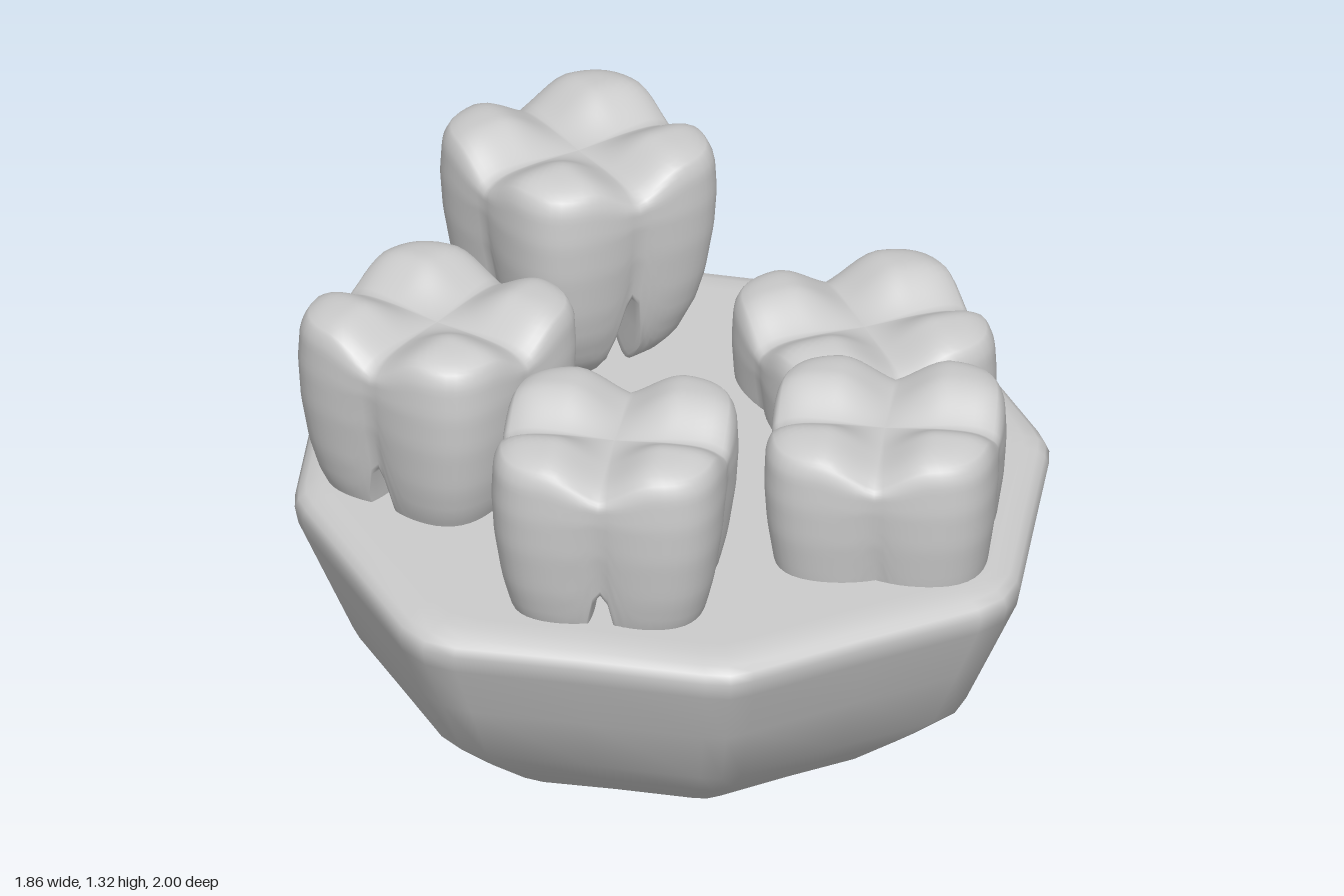
import * as THREE from 'three';

const material = new THREE.MeshStandardMaterial({ color: 0xcccccc });
const { lerp, smoothstep } = THREE.MathUtils;

// Smooth closed skin through rings of points, listed from top to bottom.
function skin(rings) {
  const n = rings[0].length, index = [];
  for (let i = 0; i < rings.length - 1; i++) {
    for (let j = 0; j < n; j++) {
      const a = i * n + j, b = i * n + (j + 1) % n, c = a + n, d = b + n;
      if (i > 0) index.push(a, b, c);
      if (i < rings.length - 2) index.push(b, d, c);
      else if (i === 0) index.push(b, d, c);
    }
  }
  const geometry = new THREE.BufferGeometry();
  geometry.setAttribute('position', new THREE.Float32BufferAttribute(rings.flat(2), 3));
  geometry.setIndex(index);
  geometry.computeVertexNormals();
  return geometry;
}

// Piecewise linear lookup in [key, value] pairs with falling keys.
function lookup(table, key) {
  for (let i = 1; i < table.length; i++) {
    const [k0, v0] = table[i - 1], [k1, v1] = table[i];
    if (key >= k1) return lerp(v0, v1, Math.min(1, Math.max(0, (k0 - key) / (k0 - k1))));
  }
  return table[table.length - 1][1];
}

// Octagonal bowl with softened corners and a solid flat top.
function bowlGeometry() {
  const quarter = [[0.93, 0], [0.92, 0.06], [0.84, 0.36], [0.765, 0.645], [0.72, 0.725], [0.65, 0.77], [0.36, 0.87], [0.06, 0.985]];
  const outline = [
    ...quarter,
    [0, 1],
    ...quarter.slice(1).reverse().map(([x, z]) => [-x, z]),
    ...quarter.map(([x, z]) => [-x, -z]),
    [0, -1],
    ...quarter.slice(1).reverse().map(([x, z]) => [x, -z]),
  ];
  const profile = [[0, 0.695], [0.88, 0.695], [0.93, 0.694], [0.97, 0.683], [0.99, 0.667], [1, 0.645], [0.99, 0.6],
    [0.92, 0.45], [0.845, 0.29], [0.72, 0.185], [0.59, 0.085], [0.47, 0.028], [0.36, 0], [0.3, 0], [0, 0]];
  return skin(profile.map(([s, y]) => outline.map(([x, z]) => [x * s, y, z * s])));
}

// Molar: four cusps on top, a rounded square crown and four tapering roots. y = 0 at the cusps.
function molarGeometry() {
  const SEG = 80, CAP = 16, SIDE = 28, UNDER = 14;
  const taper = [[0, 0.97], [-0.06, 0.985], [-0.15, 1], [-0.25, 0.98], [-0.37, 0.92],
    [-0.45, 0.85], [-0.54, 0.72], [-0.58, 0.61], [-0.61, 0.48]];
  const groove = [[0, 0.01], [-0.1, 0.025], [-0.36, 0.1], [-0.6, 0.1]];

  // Outer radius: superellipse pinched in the middle of each side
  const radius = (a, y) => {
    const square = 0.288 / Math.pow(Math.cos(a) ** 4 + Math.sin(a) ** 4, 0.25);
    const pinch = (1 - Math.abs(Math.sin(2 * a))) ** 2;
    return square * lookup(taper, y) * (1 - lookup(groove, y) * pinch);
  };
  // Chewing surface with a cross-shaped valley between the cusps
  const crownTop = (a, k) => {
    const r = k * radius(a, 0) * 0.95;
    const bump = smoothstep(Math.abs(r * Math.cos(a)), -0.03, 0.14) * smoothstep(Math.abs(r * Math.sin(a)), -0.03, 0.14);
    return [r, -0.07 * (1 - bump) - 0.025 * k ** 8];
  };
  // Lower rim: deep at the root corners, arched between them
  const lowerRim = a => -0.37 - 0.24 * Math.sqrt(smoothstep(Math.abs(Math.sin(2 * a)), 0.12, 0.75));

  const ring = at => Array.from({ length: SEG }, (_, j) => {
    const a = (j / SEG) * Math.PI * 2, [r, y] = at(a);
    return [r * Math.cos(a), y, r * Math.sin(a)];
  });
  const rings = [];
  for (let i = 0; i <= CAP; i++) rings.push(ring(a => crownTop(a, i / CAP)));
  for (let i = 1; i <= SIDE; i++) {
    const t = (i / SIDE) ** 1.3;
    rings.push(ring(a => {
      const y = lerp(crownTop(a, 1)[1], lowerRim(a), t);
      const round = 1 - 0.05 * Math.max(0, 1 - t / 0.09) ** 2;
      return [radius(a, y) * round, y];
    }));
  }
  for (let i = 1; i <= UNDER; i++) {
    const k = 1 - i / UNDER;
    rings.push(ring(a => {
      const rim = lowerRim(a);
      return [k * radius(a, rim), lerp(-0.37, rim, smoothstep(k, 0.25, 0.95))];
    }));
  }
  return skin(rings);
}

export function createModel() {
  const model = new THREE.Group();
  model.name = 'bowlOfMolars';

  const bowl = new THREE.Mesh(bowlGeometry(), material);
  bowl.name = 'bowl';
  model.add(bowl);

  // Molars: name, x, height of cusps, z, turn in degrees
  const molar = molarGeometry();
  const places = [
    ['backMolar', -0.147, 1.32, -0.577, 25],
    ['backLeftMolar', 0.513, 0.943, -0.27, 13],
    ['frontLeftMolar', 0.468, 1.055, 0.4, -14],
    ['frontRightMolar', -0.217, 1.153, 0.528, -17],
    ['rightMolar', -0.573, 1.185, -0.04, -45],
  ];
  for (const [name, x, y, z, turn] of places) {
    const tooth = new THREE.Mesh(molar, material);
    tooth.name = name;
    tooth.position.set(x, y, z);
    tooth.rotation.y = THREE.MathUtils.degToRad(turn);
    model.add(tooth);
  }
  return model;
}
